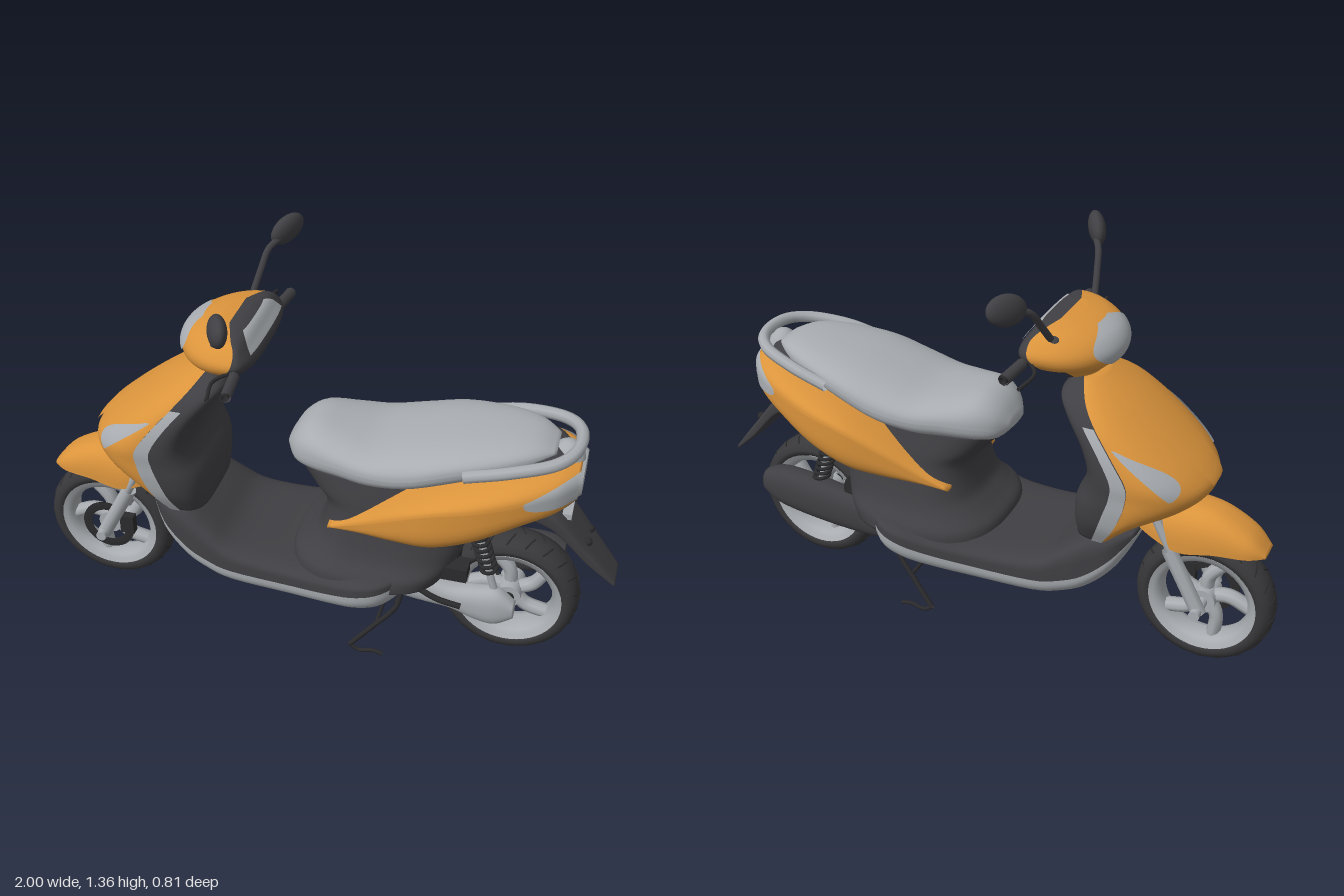
import * as THREE from 'three';

const PI = Math.PI;
const mat = (name, color) =>
  Object.assign(new THREE.MeshStandardMaterial({ color, side: THREE.DoubleSide }), { name });
const orange = mat('orange paint', 0xdb943c);
const silver = mat('silver', 0xa9adb1);
const black = mat('black plastic', 0x403f43);
const rubber = mat('tyre rubber', 0x38383a);
const metal = mat('dark metal', 0x2b2b2d);

function add(parent, name, geo, material, x = 0, y = 0, z = 0) {
  const m = new THREE.Mesh(geo, material);
  m.name = name;
  m.position.set(x, y, z);
  parent.add(m);
  return m;
}

// Smooth interpolation through the rows of a section table
function sample(rows, u) {
  const i = Math.min(Math.floor(u), rows.length - 2), t = u - i;
  const at = j => rows[Math.max(0, Math.min(rows.length - 1, j))];
  const [A, B, C, D] = [at(i - 1), at(i), at(i + 1), at(i + 2)];
  return B.map((b, k) => b + 0.5 * t * (C[k] - A[k] +
    t * (2 * A[k] - 5 * b + 4 * C[k] - D[k] + t * (3 * (b - C[k]) + D[k] - A[k]))));
}

// Half-elliptical loft. Row: [station, middle, side 2, side 3, half width];
// k picks the side, u and a cut out a patch, off lifts it off the body.
function half(parent, name, material, rows, k, { axis = 'x', p = 1, u, a, off = 0 } = {}) {
  const M = 36, N = 32, pos = [], idx = [];
  const [u0, u1] = u || [0, rows.length - 1];
  for (let i = a ? 0 : -1; i <= (a ? M : M + 1); i++) {
    const v = Math.max(0, Math.min(1, i / M)), cap = i < 0 || i > M ? 0 : 1;
    const r = sample(rows, u0 + (u1 - u0) * v), [a0, a1] = a ? a(v) : [0, PI];
    const reach = (r[k] - r[1] + Math.sign(r[k] - r[1]) * off) * cap;
    for (let j = 0; j <= N; j++) {
      const t = a0 + (a1 - a0) * j / N, c = Math.cos(t);
      const d = r[1] + reach * Math.abs(Math.sin(t)) ** p;
      const z = (r[4] + off) * cap * Math.sign(c) * Math.abs(c) ** p;
      pos.push(...(axis === 'x' ? [r[0], d, z] : [d, r[0], z]));
    }
  }
  const rings = pos.length / 3 / (N + 1);
  for (let i = 0; i < rings - 1; i++) for (let j = 0; j < N; j++) {
    const q = i * (N + 1) + j, w = q + N + 1;
    idx.push(q, w, q + 1, q + 1, w, w + 1);
  }
  const g = new THREE.BufferGeometry();
  g.setAttribute('position', new THREE.Float32BufferAttribute(pos, 3));
  g.setIndex(idx);
  g.computeVertexNormals();
  return add(parent, name, g, material);
}
function body(parent, name, material, rows, o) {
  half(parent, name + 'Upper', material, rows, 2, o);
  half(parent, name + 'Lower', material, rows, 3, o);
}
function tube(parent, name, material, pts, r, n = 16) {
  const curve = new THREE.CatmullRomCurve3(pts.map(q => new THREE.Vector3(...q)));
  return add(parent, name, new THREE.TubeGeometry(curve, n, r, 8), material);
}
function ball(parent, name, material, c, s) {
  const m = add(parent, name, new THREE.SphereGeometry(1, 24, 16), material, ...c);
  m.scale.set(...s);
  return m;
}
const lathe = pts => new THREE.LatheGeometry(pts.map(q => new THREE.Vector2(...q)), 48).rotateX(PI / 2);
const disc = (r, h) => new THREE.CylinderGeometry(r, r, h, 28).rotateX(PI / 2);

function wheel(parent, name, x, w) {
  const g = new THREE.Group();
  g.name = name;
  g.position.set(x, 0.273, 0);
  parent.add(g);
  add(g, 'tyre', lathe([[0.168, -w * 0.7], [0.18, -w * 0.95], [0.197, -w], [0.217, -w * 0.8], [0.227, -w * 0.4],
    [0.23, 0], [0.227, w * 0.4], [0.217, w * 0.8], [0.197, w], [0.18, w * 0.95], [0.168, w * 0.7]]), rubber);
  add(g, 'rim', lathe([[0.178, -w * 0.96], [0.165, -w * 0.85], [0.15, -w * 0.7], [0.142, -w * 0.3], [0.142, w * 0.3],
    [0.15, w * 0.7], [0.165, w * 0.85], [0.178, w * 0.96]]), silver);
  add(g, 'hub', disc(0.042, w * 1.6), silver);
  for (let i = 0; i < 5; i++) {
    const b = i * PI * 0.4 + 0.3, P = (r, d) => [r * Math.cos(b + d), r * Math.sin(b + d), 0];
    tube(g, 'spoke', silver, [P(0.025, 0), P(0.08, 0.12), P(0.15, 0.4)], 0.023).scale.z = 1.2;
  }
  // Slanted tread bars hugging the tyre, alternating sides
  for (let i = 0; i < 44; i++) {
    const s = i % 2 ? 1 : -1;
    const P = (r, d, z) => [r * Math.cos(i * PI / 22 + d), r * Math.sin(i * PI / 22 + d), s * z * w];
    tube(g, 'treadBar', metal, [P(0.2285, 0, 0.05), P(0.226, 0.05, 0.42), P(0.216, 0.11, 0.8)], 0.003, 4);
  }
  return g;
}

export function createModel() {
  const root = new THREE.Group();
  root.name = 'scooter';

  // Wheels, front brake and fork
  const front = wheel(root, 'frontWheel', -0.77, 0.056);
  wheel(root, 'rearWheel', 0.66, 0.068);
  add(front, 'brakeDisc', lathe([[0.065, 0.055], [0.095, 0.055], [0.095, 0.06], [0.065, 0.06], [0.065, 0.055]]), metal);
  add(front, 'brakeCaliper', new THREE.BoxGeometry(0.05, 0.07, 0.03), metal, 0.08, 0.03, 0.065);
  add(front, 'frontAxle', disc(0.018, 0.26), silver);
  for (const s of [-1, 1]) {
    tube(root, 'forkLeg', silver, [[-0.58, 0.64, s * 0.09], [-0.77, 0.273, s * 0.09]], 0.017);
    tube(root, 'forkSlider', silver, [[-0.66, 0.475, s * 0.09], [-0.775, 0.26, s * 0.09]], 0.025);
  }
  half(root, 'frontFender', orange, [
    [-0.955, 0.495, 0.505, 0, 0.04], [-0.9, 0.495, 0.562, 0, 0.075], [-0.8, 0.495, 0.612, 0, 0.095],
    [-0.7, 0.48, 0.625, 0, 0.105], [-0.62, 0.5, 0.62, 0, 0.1], [-0.52, 0.54, 0.6, 0, 0.075]], 2, { p: 0.75 });

  // Front shield: painted nose, black inner side, silver trim and lamps
  const shield = [
    [0.5, -0.47, -0.5, -0.36, 0.18], [0.57, -0.51, -0.59, -0.355, 0.215], [0.64, -0.54, -0.72, -0.36, 0.23],
    [0.7, -0.555, -0.768, -0.385, 0.235], [0.76, -0.555, -0.735, -0.395, 0.24], [0.84, -0.5, -0.645, -0.37, 0.23],
    [0.92, -0.43, -0.54, -0.315, 0.2], [0.97, -0.385, -0.465, -0.285, 0.155], [1.01, -0.35, -0.395, -0.32, 0.08]];
  const Y = { axis: 'y' };
  half(root, 'frontShield', orange, shield, 2, Y);
  half(root, 'innerLegShield', black, shield, 3, { ...Y, p: 0.5 });
  half(root, 'shieldRidge', orange, shield, 2, { ...Y, u: [3.3, 7.2], off: 0.009,
    a: v => [PI / 2 - 0.2 - 0.35 * v, PI / 2 + 0.2 + 0.35 * v] });
  for (const s of [-1, 1]) {
    half(root, 'shieldTrim', silver, shield, 3, { ...Y, p: 0.5, u: [0, 5.9], off: 0.005, a: () => [0, 0.09] }).scale.z = s;
    half(root, 'turnLamp', silver, shield, 2, { ...Y, u: [3.3, 5.3], off: 0.006,
      a: v => [0.6 - 0.45 * v, 0.65 - 0.42 * v + 0.42 * Math.sin(PI * v)] }).scale.z = s;
  }

  // Handlebar cowl with headlamp and instrument panel
  const cowl = [
    [0.95, -0.33, -0.34, -0.3, 0.04], [1, -0.32, -0.37, -0.26, 0.08], [1.04, -0.29, -0.41, -0.215, 0.13],
    [1.07, -0.26, -0.44, -0.18, 0.2], [1.11, -0.225, -0.445, -0.165, 0.225], [1.15, -0.22, -0.42, -0.19, 0.2],
    [1.175, -0.24, -0.37, -0.21, 0.16], [1.188, -0.27, -0.31, -0.24, 0.08]];
  half(root, 'handlebarCowl', orange, cowl, 2, Y);
  half(root, 'cowlBack', black, cowl, 3, { ...Y, p: 0.7 });
  half(root, 'headlamp', silver, cowl, 2, { ...Y, u: [2.6, 6], off: 0.005,
    a: v => [PI / 2 - 0.25 - 0.4 * Math.sin(PI * v), PI / 2 + 0.25 + 0.4 * Math.sin(PI * v)] });
  half(root, 'instrumentPanel', silver, cowl, 3, { ...Y, p: 0.7, u: [4.5, 6.3], off: 0.005, a: () => [0.9, PI - 0.9] });

  // Grips, levers and mirrors
  for (const s of [-1, 1]) {
    tube(root, 'handlebar', metal, [[-0.22, 1.09, s * 0.15], [-0.2, 1.085, s * 0.34]], 0.012);
    tube(root, 'grip', black, [[-0.21, 1.09, s * 0.225], [-0.2, 1.085, s * 0.335]], 0.018);
    tube(root, 'brakeLever', metal, [[-0.22, 1.09, s * 0.2], [-0.265, 1.085, s * 0.26], [-0.255, 1.075, s * 0.35]], 0.006);
    ball(root, 'mirrorBase', black, [-0.28, 1.15, s * 0.16], [0.03, 0.02, 0.025]);
    tube(root, 'mirrorStem', black, [[-0.28, 1.15, s * 0.165], [-0.265, 1.22, s * 0.218], [-0.25, 1.277, s * 0.262],
      [-0.22, 1.3, s * 0.31]], 0.011);
    const head = ball(root, 'mirror', black, [-0.212, 1.313, s * 0.343], [0.028, 0.048, 0.07]);
    head.rotation.set(-s * 0.25, s * 0.5, 0);
  }

  // Floor board over the silver belly
  const floor = [
    [-0.56, 0.515, 0.53, 0.5, 0.12], [-0.5, 0.44, 0.53, 0.37, 0.18], [-0.42, 0.37, 0.51, 0.285, 0.205],
    [-0.34, 0.335, 0.455, 0.245, 0.22], [-0.25, 0.32, 0.4, 0.226, 0.235], [-0.05, 0.32, 0.385, 0.222, 0.25],
    [0.1, 0.34, 0.4, 0.232, 0.28], [0.2, 0.365, 0.422, 0.247, 0.3], [0.28, 0.385, 0.428, 0.27, 0.28],
    [0.36, 0.4, 0.428, 0.335, 0.19]];
  half(root, 'floorBoard', black, floor, 2, { p: 0.4 });
  half(root, 'belly', silver, floor, 3, { p: 0.78 });

  // Seat pedestal, tail panels, seat
  body(root, 'seatPedestal', black, [
    [0.37, 0.2, -0.075, 0.46, 0.27], [0.41, 0.2, -0.065, 0.48, 0.262], [0.45, 0.2, -0.02, 0.5, 0.228],
    [0.5, 0.2, 0.02, 0.51, 0.208], [0.6, 0.2, 0.035, 0.5, 0.185], [0.66, 0.18, -0.01, 0.45, 0.175],
    [0.73, 0.18, -0.07, 0.42, 0.16]], { ...Y, p: 0.75 });
  const tail = [
    [0.07, 0.54, 0.55, 0.532, 0.182], [0.18, 0.59, 0.635, 0.53, 0.208], [0.3, 0.66, 0.715, 0.53, 0.245],
    [0.42, 0.72, 0.775, 0.54, 0.27], [0.55, 0.75, 0.82, 0.59, 0.262], [0.68, 0.775, 0.848, 0.66, 0.222],
    [0.78, 0.785, 0.855, 0.7, 0.165], [0.84, 0.79, 0.845, 0.735, 0.1]];
  half(root, 'tailTop', orange, tail, 2, { p: 0.8 });
  half(root, 'tailSides', orange, tail, 3, { p: 0.5 });
  half(root, 'underTray', black, tail, 3, { p: 0.5, off: 0.005, a: () => [1, PI - 1] });
  body(root, 'seat', silver, [
    [-0.095, 0.76, 0.775, 0.745, 0.05], [-0.06, 0.76, 0.83, 0.71, 0.11], [0, 0.77, 0.862, 0.7, 0.15],
    [0.1, 0.775, 0.85, 0.7, 0.18], [0.2, 0.775, 0.842, 0.7, 0.203], [0.32, 0.79, 0.87, 0.72, 0.214],
    [0.45, 0.83, 0.9, 0.76, 0.205], [0.6, 0.86, 0.918, 0.81, 0.165], [0.7, 0.875, 0.915, 0.84, 0.115],
    [0.76, 0.88, 0.89, 0.87, 0.06]], { p: 0.8 });

  // Grab rail, tail lamps, rear mudguard
  tube(root, 'grabRail', silver, [[0.5, 0.835, 0.195], [0.64, 0.868, 0.18], [0.77, 0.89, 0.13], [0.82, 0.9, 0.06],
    [0.82, 0.9, -0.06], [0.77, 0.89, -0.13], [0.64, 0.868, -0.18], [0.5, 0.835, -0.195]], 0.02, 48);
  ball(root, 'tailRecess', black, [0.69, 0.855, 0], [0.115, 0.032, 0.135]);
  ball(root, 'tailCentre', silver, [0.79, 0.81, 0], [0.06, 0.088, 0.06]);
  half(root, 'tailLampTop', silver, [[0.835, 0.79, 0.845, 0, 0.105], [0.85, 0.79, 0.838, 0, 0.09]], 2, { p: 0.8 });
  half(root, 'tailLampBottom', silver, [[0.835, 0.79, 0, 0.73, 0.105], [0.85, 0.79, 0, 0.74, 0.09]], 3, { p: 0.7 });
  for (const s of [-1, 1]) {
    half(root, 'tailLampUpper', silver, tail, 2, { p: 0.8, u: [5.1, 7], off: 0.005, a: v => [0, 0.1 + 0.8 * v] }).scale.z = s;
    half(root, 'tailLampLower', silver, tail, 3, { p: 0.5, u: [5.1, 7], off: 0.005, a: v => [0, 0.3 * v] }).scale.z = s;
    ball(root, 'reflector', metal, [0.89, 0.545, s * 0.035], [0.015, 0.014, 0.014]);
  }
  body(root, 'rearMudguard', black, [
    [0.66, 0.69, 0.72, 0.65, 0.12], [0.78, 0.635, 0.668, 0.6, 0.1], [0.9, 0.5, 0.53, 0.475, 0.078],
    [0.995, 0.4, 0.41, 0.392, 0.055]], { p: 0.45 });
  add(root, 'plateLamp', new THREE.BoxGeometry(0.03, 0.02, 0.1), silver, 0.815, 0.64, 0);

  // Engine, drive case and muffler
  add(root, 'engine', new THREE.BoxGeometry(0.26, 0.17, 0.2), metal, 0.35, 0.4, 0);
  add(root, 'cylinderBlock', disc(0.075, 0.24), metal, 0.42, 0.41, -0.02);
  add(root, 'rearFrame', new THREE.BoxGeometry(0.16, 0.12, 0.2), black, 0.49, 0.57, 0);
  const drive = new THREE.Group();
  drive.name = 'driveUnit';
  drive.position.z = 0.12;
  root.add(drive);
  body(drive, 'driveCase', silver, [
    [0.24, 0.34, 0.395, 0.28, 0.03], [0.36, 0.325, 0.38, 0.265, 0.042], [0.48, 0.3, 0.345, 0.255, 0.042],
    [0.56, 0.285, 0.35, 0.225, 0.042], [0.63, 0.285, 0.355, 0.215, 0.04], [0.69, 0.285, 0.31, 0.25, 0.025]], { p: 0.8 });
  add(drive, 'airBox', new THREE.BoxGeometry(0.14, 0.05, 0.07), metal, 0.46, 0.41, 0);
  tube(drive, 'kickLever', metal, [[0.38, 0.335, 0.045], [0.44, 0.31, 0.05], [0.52, 0.295, 0.05]], 0.01);
  const muffler = new THREE.Group();
  muffler.name = 'exhaust';
  muffler.position.z = -0.125;
  root.add(muffler);
  body(muffler, 'muffler', black, [
    [0.28, 0.29, 0.315, 0.265, 0.02], [0.37, 0.305, 0.37, 0.245, 0.042], [0.55, 0.325, 0.405, 0.25, 0.052],
    [0.74, 0.345, 0.42, 0.275, 0.052], [0.82, 0.355, 0.395, 0.315, 0.035]], { p: 0.8 });
  add(root, 'rearAxle', disc(0.02, 0.2), metal, 0.66, 0.273, 0);

  // Rear shock absorbers with coil springs
  for (const s of [-1, 1]) {
    tube(root, 'shockRod', silver, [[0.53, 0.64, s * 0.115], [0.62, 0.34, s * 0.115]], 0.013);
    const coil = Array.from({ length: 73 }, (_, i) => {
      const t = i / 72, b = t * 18 * PI;
      return [0.54 + 0.06 * t + 0.026 * Math.cos(b), 0.605 - 0.19 * t, s * 0.115 + 0.026 * Math.sin(b)];
    });
    tube(root, 'shockSpring', metal, coil, 0.0065, 220);
  }

  // Centre stand
  for (const s of [-1, 1]) {
    tube(root, 'standLeg', metal, [[0.31, 0.27, s * 0.11], [0.3, 0.21, s * 0.13], [0.22, 0.11, s * 0.15],
      [0.15, 0.03, s * 0.165]], 0.009);
    tube(root, 'standFoot', metal, [[0.145, 0.03, s * 0.165], [0.18, 0.009, s * 0.165], [0.23, 0.018, s * 0.165],
      [0.265, 0.01, s * 0.165]], 0.007);
  }
  tube(root, 'standBar', metal, [[0.3, 0.215, -0.13], [0.3, 0.215, 0.13]], 0.011);
  tube(root, 'standBrace', metal, [[0.235, 0.13, -0.147], [0.235, 0.13, 0.147]], 0.007);
  return root;
}
